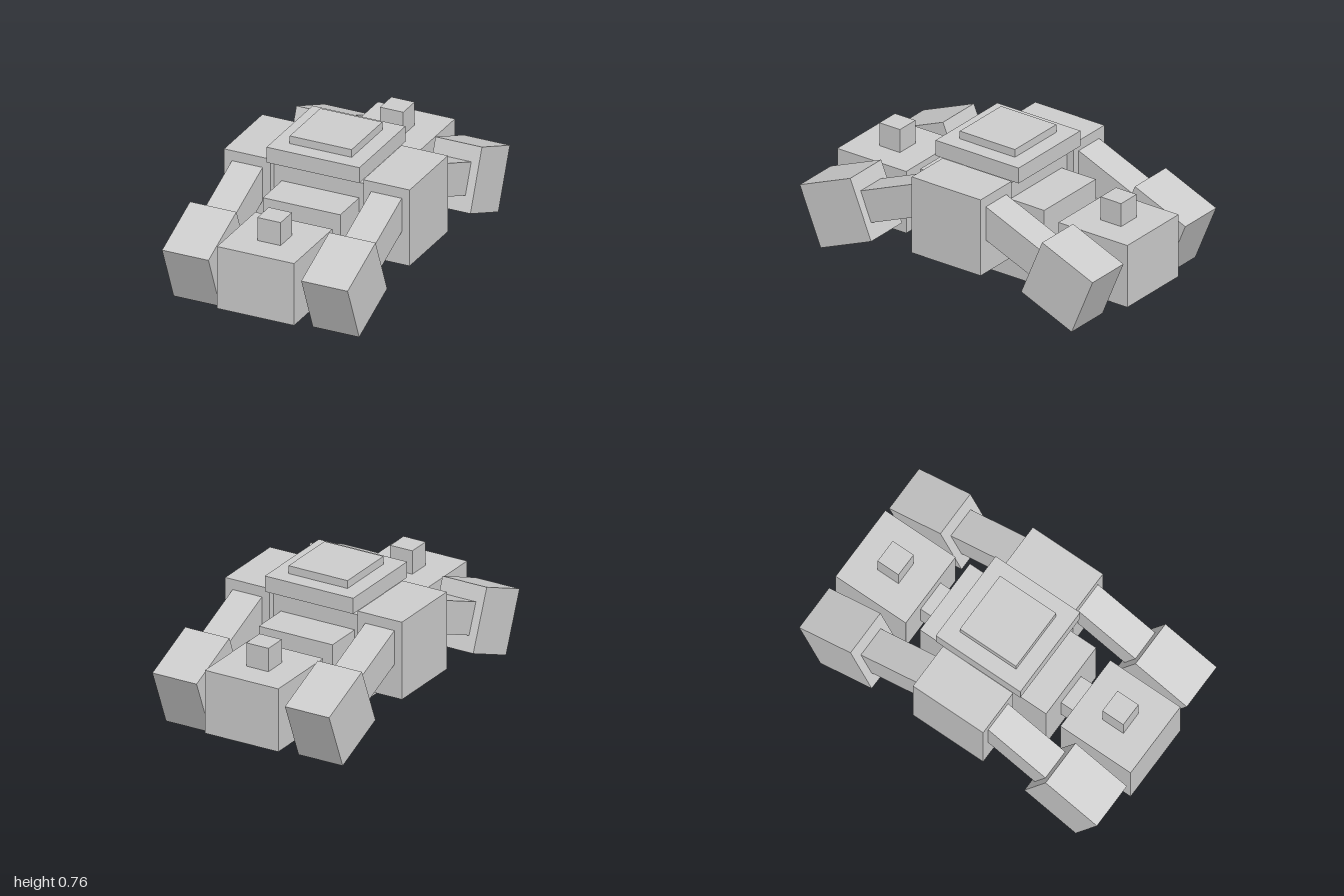
import * as THREE from 'three';

const material = new THREE.MeshStandardMaterial({ color: 0xcccccc, flatShading: true });

// Box given by its size, centre x and z, and bottom/top heights
function block(parent, name, w, d, bottom, top, x = 0, z = 0) {
  const mesh = new THREE.Mesh(new THREE.BoxGeometry(w, top - bottom, d), material);
  mesh.position.set(x, (bottom + top) / 2, z);
  mesh.name = name;
  parent.add(mesh);
  return mesh;
}

// Tilted leg: a square arm running inward from a cubic foot
function leg(side) {
  const group = new THREE.Group();
  group.name = 'leg';
  block(group, 'foot', 0.283, 0.372, -0.186, 0.186);
  block(group, 'arm', 0.187, 0.65, -0.094, 0.094, 0, -0.325);
  group.position.set(side * 0.4245, 0.246, 0.754);
  group.rotation.x = THREE.MathUtils.degToRad(22.5);
  return group;
}

// One end of the vehicle: pod, its turret, the connector and two legs
function endSection(name) {
  const group = new THREE.Group();
  group.name = name;
  block(group, 'pod', 0.47, 0.47, 0.06, 0.438, 0, 0.753);
  block(group, 'turret', 0.142, 0.14, 0.43, 0.578, 0, 0.753);
  block(group, 'connector', 0.188, 0.14, 0.16, 0.345, 0, 0.47);
  for (const side of [-1, 1]) group.add(leg(side));
  return group;
}

export function createModel() {
  const model = new THREE.Group();
  model.name = 'walker';

  // Central hull, core and stepped roof
  block(model, 'hull', 0.472, 0.845, 0.012, 0.483);
  block(model, 'core', 0.566, 0.38, 0.2, 0.577);
  block(model, 'neck', 0.38, 0.38, 0.57, 0.63);
  block(model, 'roofPlate', 0.566, 0.566, 0.625, 0.719);
  block(model, 'hatch', 0.378, 0.376, 0.71, 0.766);

  // Side housings holding the arms
  for (const side of [-1, 1]) {
    block(model, 'shoulder', 0.283, 0.47, 0.16, 0.624, side * 0.4245);
  }

  // Identical front and back ends
  const front = endSection('frontSection');
  const back = endSection('backSection');
  back.rotation.y = Math.PI;
  model.add(front, back);
  return model;
}
